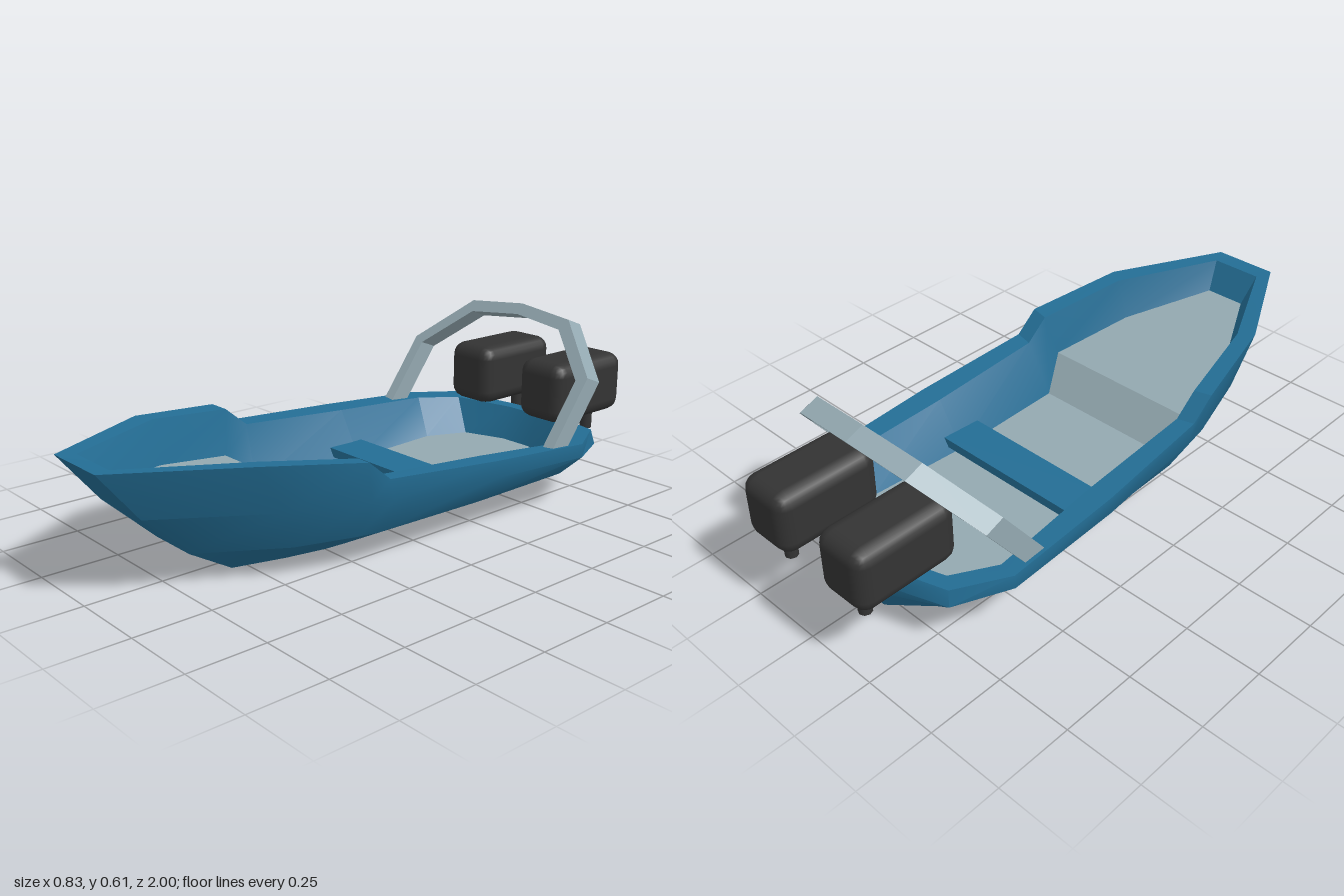
import * as THREE from 'three';
import { toCreasedNormals } from 'three/addons/utils/BufferGeometryUtils.js';
import { RoundedBoxGeometry } from 'three/addons/geometries/RoundedBoxGeometry.js';

// Half outlines [x, z, y] running from the bow to the stern
const KEEL = [[.06, .55, .003], [.1, .38, 0], [.125, .25, 0], [.13, .18, 0], [.14, -.2, 0], [.14, -.58, 0], [.11, -.7, 0], [.05, -.78, 0]];
const CHINE = [[.085, .71, .1], [.24, .46, .1], [.3, .27, .1], [.315, .2, .1], [.33, -.2, .1], [.325, -.6, .1], [.25, -.74, .1], [.07, -.83, .1]];
const SIDE = [[.108, .87, .25], [.3, .53, .24], [.375, .28, .23], [.382, .2, .22], [.411, -.2, .2], [.415, -.6, .18], [.33, -.77, .17], [.08, -.85, .165]];
const RIM = [[.11, 1, .41], [.31, .63, .4], [.385, .3, .357], [.385, .22, .29], [.41, -.2, .256], [.413, -.6, .225], [.32, -.76, .22], [.08, -.825, .21]];
const INNER = [[.088, .945, .405], [.26, .6, .395], [.325, .29, .352], [.325, .21, .285], [.33, -.2, .252], [.35, -.59, .22], [.27, -.72, .215], [.07, -.78, .21]];
const FLOOR = [[.07, .89, .31], [.22, .6, .26], [.29, .32, .21], [.25, .23, .1], [.24, -.2, .1], [.26, -.55, .1], [.2, -.69, .1], [.06, -.74, .1]];

const mirrored = ([x, z, y]) => [-x, z, y];
const ring = (half) => [...half, ...half.map(mirrored).reverse()];

function fromQuads(quads, crease) {
  const pos = [];
  for (const [a, b, c, d] of quads)
    for (const [x, z, y] of [a, b, c, a, c, d]) pos.push(x, y, z);
  const geo = new THREE.BufferGeometry();
  geo.setAttribute('position', new THREE.Float32BufferAttribute(pos, 3));
  geo.computeVertexNormals();
  return toCreasedNormals(geo, crease);
}

// Bands between successive rings
function bands(halves) {
  const rings = halves.map(ring), quads = [];
  for (let k = 0; k + 1 < rings.length; k++) {
    const lo = rings[k], hi = rings[k + 1], n = lo.length;
    for (let i = 0; i < n; i++) {
      const j = (i + 1) % n;
      quads.push([lo[i], lo[j], hi[j], hi[i]]);
    }
  }
  return quads;
}

// Strips from one side of an outline to the other
function deck(half, down = false) {
  const quads = [];
  for (let i = 0; i + 1 < half.length; i++) {
    const q = [half[i], half[i + 1], mirrored(half[i + 1]), mirrored(half[i])];
    quads.push(down ? q.reverse() : q);
  }
  return quads;
}

export function createModel() {
  const material = (name, color) => {
    const m = new THREE.MeshStandardMaterial({ color });
    m.name = name;
    return m;
  };
  const blue = material('hull blue', 0x236d94);
  const grey = material('pale grey', 0x93a8b0);
  const black = material('engine black', 0x333333);

  const group = new THREE.Group();
  group.name = 'motorboat';
  const add = (name, geo, mat, x = 0, y = 0, z = 0) => {
    const mesh = new THREE.Mesh(geo, mat);
    mesh.name = name;
    mesh.position.set(x, y, z);
    group.add(mesh);
  };

  // Hull: hard chine below, smooth topsides, then gunwale and inner walls
  add('hullBottom', fromQuads([...deck(KEEL, true), ...bands([KEEL, CHINE])], 0.45), blue);
  add('hullSides', fromQuads(bands([CHINE, SIDE, RIM]), 0.9), blue);
  add('gunwale', fromQuads(bands([RIM, INNER, FLOOR]), 0.45), blue);

  // Raised fore deck, step and cockpit floor
  add('floor', fromQuads(deck(FLOOR), 0.3), grey);

  // Bench across the cockpit, a little wider at its rear edge
  const benchShape = new THREE.Shape([[-.28, .1], [.28, .1], [.295, .24], [-.295, .24]].map(([x, y]) => new THREE.Vector2(x, y)));
  const benchGeo = new THREE.ExtrudeGeometry(benchShape, { depth: 0.03, bevelEnabled: false });
  benchGeo.rotateX(-Math.PI / 2);
  add('bench', benchGeo, blue, 0, 0.12, 0);

  // Roll arch, drawn flat, then leaned and swept backwards
  const outer = [[.4, -.015], [.4, .256], [.22, .44], [0, .465]];
  const inner = [[.36, -.015], [.36, .238], [.2, .398], [0, .4225]];
  const across = (p) => [...p, ...p.slice(0, -1).reverse().map(([x, y]) => [-x, y])];
  const outline = [...across(outer), ...across(inner).reverse()].map(([x, y]) => new THREE.Vector2(x, y));
  const archGeo = new THREE.ExtrudeGeometry(new THREE.Shape(outline), { depth: 1, bevelEnabled: false });
  archGeo.translate(0, 0, -1);
  archGeo.applyMatrix4(new THREE.Matrix4().makeBasis(
    new THREE.Vector3(1, 0, 0), new THREE.Vector3(0, 0.8, -0.6), new THREE.Vector3(0, 0.024, 0.062)));
  add('arch', archGeo, grey, 0, 0.235, -0.47);

  // Twin outboard engines
  for (const [side, x] of [['left', 0.165], ['right', -0.165]]) {
    add(side + 'Engine', new RoundedBoxGeometry(0.19, 0.207, 0.345, 2, 0.045), black, x, 0.3375, -0.8275);
    add(side + 'EngineLeg', new THREE.CylinderGeometry(0.021, 0.021, 0.1, 8), black, x, 0.21, -0.926);
  }
  return group;
}
